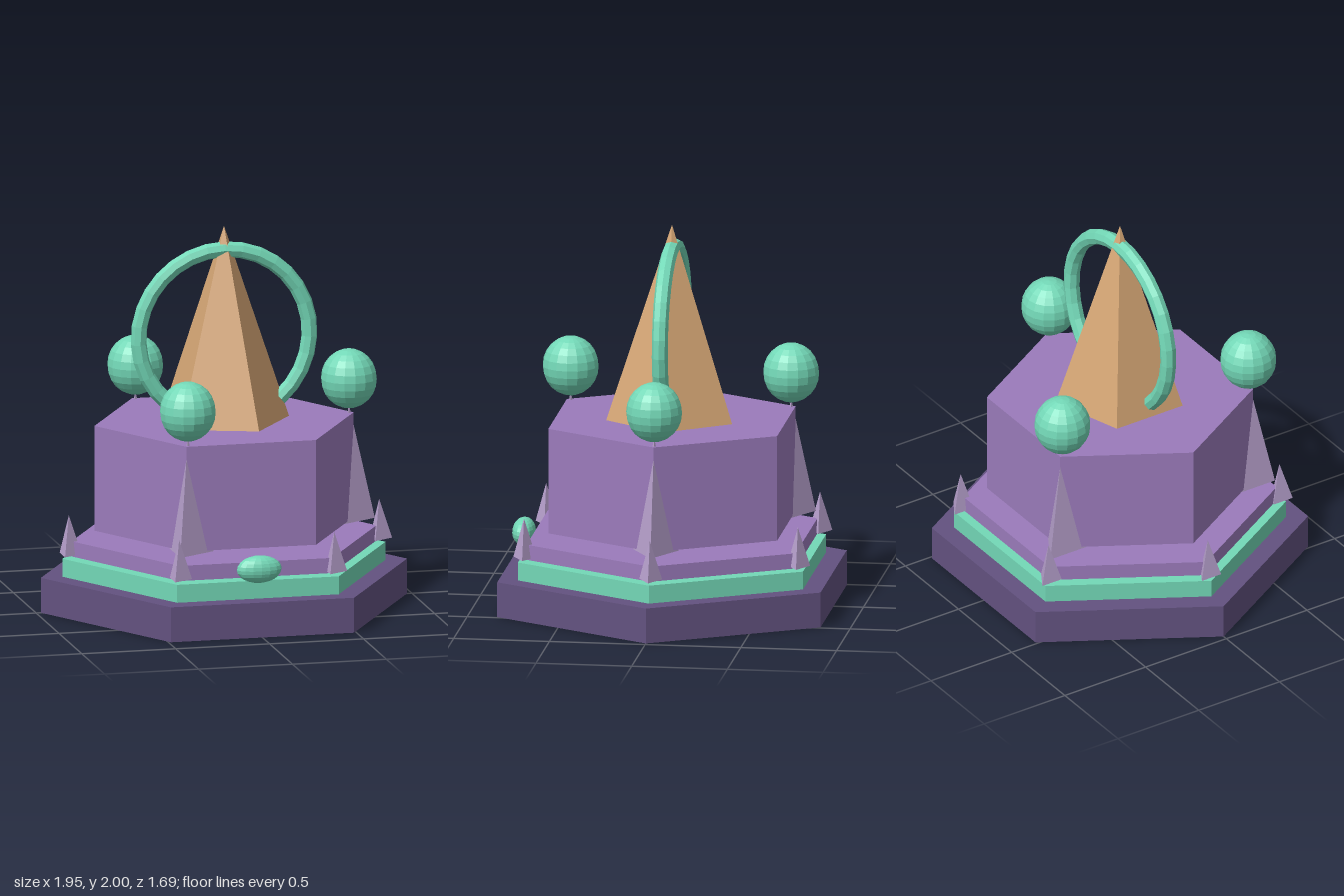
import * as THREE from 'three';

const mat = (name, color) => {
  const m = new THREE.MeshStandardMaterial({ color, flatShading: true });
  m.name = name;
  return m;
};

export function createModel() {
  const model = new THREE.Group();
  const darkPurple = mat('dark purple', 0x635280);
  const purple = mat('purple', 0x9b7bbb);
  const lilac = mat('lilac', 0xb9a2cf);
  const teal = mat('teal', 0x73d8b7);
  const tan = mat('tan', 0xd4a574);

  const add = (name, geometry, material, x = 0, y = 0, z = 0) => {
    const mesh = new THREE.Mesh(geometry, material);
    mesh.name = name;
    mesh.position.set(x, y, z);
    model.add(mesh);
    return mesh;
  };

  // Upright prism or pyramid with one corner pointing to +x
  const prism = (name, sides, rBottom, rTop, y0, y1, material, x = 0, z = 0) => {
    const g = new THREE.CylinderGeometry(rTop, rBottom, y1 - y0, sides);
    g.rotateY(Math.PI / 2);
    return add(name, g, material, x, (y0 + y1) / 2, z);
  };

  // Sphere stretched along the three axes
  const ellipsoid = (name, rx, ry, rz, x, y, z) =>
    add(name, new THREE.SphereGeometry(1, 16, 12).scale(rx, ry, rz), teal, x, y, z);

  // Stacked hexagonal tiers
  prism('base', 6, 0.975, 0.975, 0, 0.185, darkPurple);
  prism('trimTier', 6, 0.86, 0.86, 0.185, 0.28, teal);
  prism('slab', 6, 0.812, 0.812, 0.29, 0.37, purple);
  prism('mainBlock', 6, 0.69, 0.69, 0.42, 0.975, purple);

  // Five-sided spire
  prism('spire', 5, 0.347, 0, 0.972, 2, tan);

  // Small spikes on the six tier corners
  for (let i = 0; i < 6; i++) {
    const a = (i * Math.PI) / 3;
    prism('cornerSpike', 3, 0.069, 0, 0.3, 0.51, lilac, 0.826 * Math.cos(a), 0.826 * Math.sin(a));
  }

  // Three tall spikes, each carrying an orb
  for (let i = 0; i < 3; i++) {
    const a = (i * 2 * Math.PI) / 3;
    const x = 0.665 * Math.cos(a), z = 0.665 * Math.sin(a);
    prism('tallSpike', 3, 0.138, 0, 0.41, 1.02, lilac, x, z);
    ellipsoid('orb', 0.146, 0.156, 0.146, x, 1.157, z);
  }

  // Oval gem on the front of the tiers
  ellipsoid('frontGem', 0.119, 0.072, 0.06, 0, 0.347, 0.773);

  // Open ring around the spire, with its two ends closed
  const R = 0.455, tube = 0.042, arc = THREE.MathUtils.degToRad(279);
  const start = Math.PI / 2 - arc / 2;
  const ring = add('ring', new THREE.TorusGeometry(R, tube, 8, 24, arc), teal, 0, 1.42, 0);
  ring.rotation.z = start;
  for (const [angle, flip] of [[0, 1], [arc, -1]]) {
    const a = start + angle;
    const cap = add('ringEnd', new THREE.CircleGeometry(tube, 8), teal,
      R * Math.cos(a), 1.42 + R * Math.sin(a), 0);
    // Face along the ring's tangent, away from the tube
    const out = new THREE.Vector3(Math.sin(a), -Math.cos(a), 0).multiplyScalar(flip);
    cap.quaternion.setFromUnitVectors(new THREE.Vector3(0, 0, 1), out);
  }

  return model;
}
